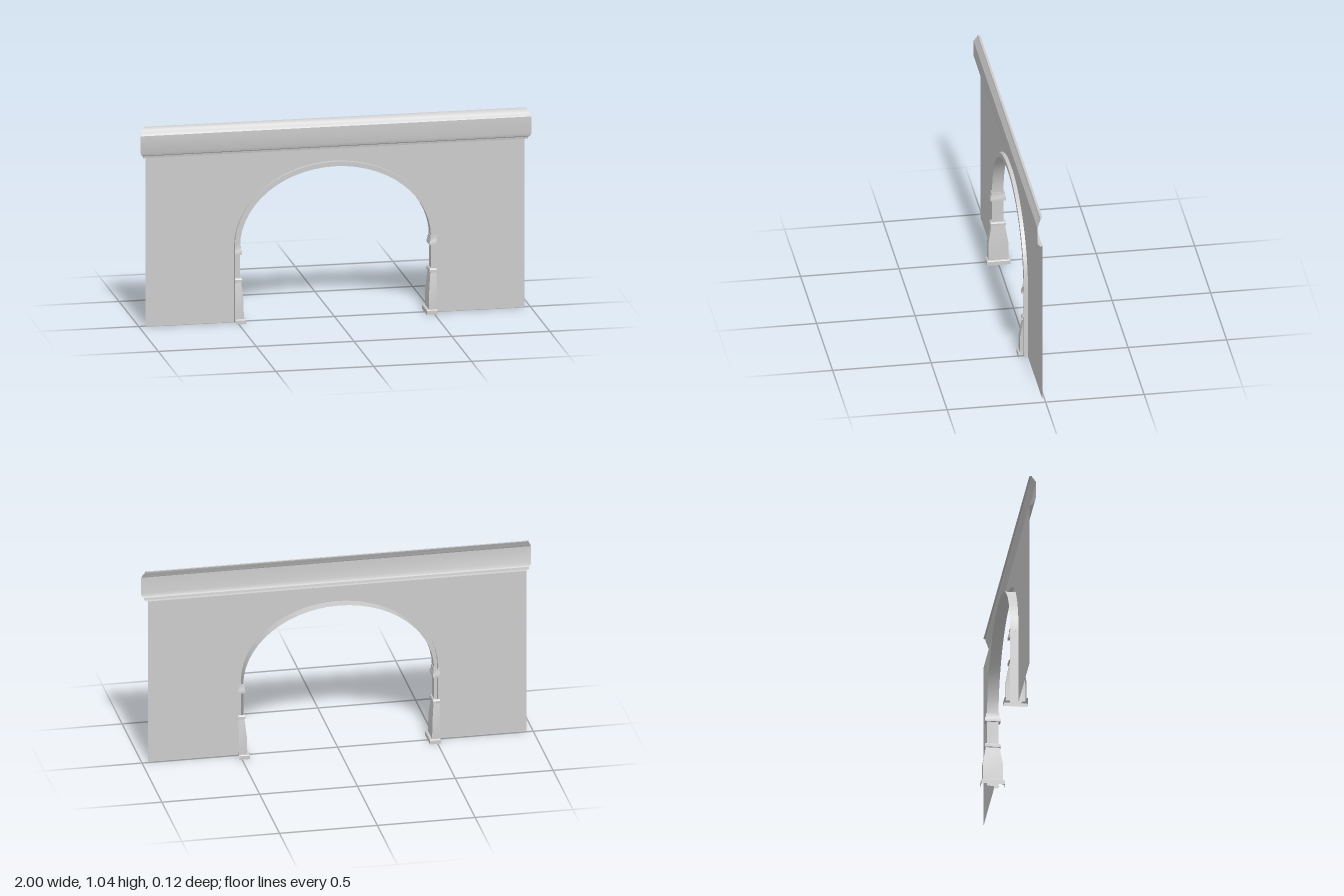
import * as THREE from 'three';
import { toCreasedNormals } from 'three/addons/utils/BufferGeometryUtils.js';

const material = new THREE.MeshStandardMaterial({ color: 0xcccccc, side: THREE.DoubleSide });

const WALL_Z = 0.011, WALL_HALF = 0.968, WALL_TOP = 0.875;
const SPRING = 0.395;                        // height where the arch starts to curve
const OUTER = { a: 0.515, b: 0.415 };        // half width and rise of the opening in the wall
const INNER = { a: 0.488, b: 0.391 };        // half width and rise of the clear opening
const SEGMENTS = 28;

function addMesh(parent, name, geometry) {
  const mesh = new THREE.Mesh(geometry, material);
  mesh.name = name;
  parent.add(mesh);
  return mesh;
}

// Open surface through rows of [x, y, z] points
function sheet(rows) {
  const n = rows[0].length, index = [];
  for (let i = 0; i < rows.length - 1; i++) {
    for (let j = 0; j < n - 1; j++) {
      const a = i * n + j, b = a + n;
      index.push(a, b, a + 1, b, b + 1, a + 1);
    }
  }
  const geometry = new THREE.BufferGeometry();
  geometry.setAttribute('position', new THREE.Float32BufferAttribute(rows.flat(2), 3));
  geometry.setIndex(index);
  return toCreasedNormals(geometry, Math.PI / 7);
}

// Arch outline from the +x foot over the crown to the -x foot
function archPath({ a, b }) {
  const points = [[a, 0]];
  for (let i = 0; i <= SEGMENTS; i++) {
    const t = Math.PI * i / SEGMENTS;
    points.push([a * Math.cos(t), SPRING + b * Math.sin(t)]);
  }
  points.push([-a, 0]);
  return points;
}

// Wrap of three sides around a jamb; each section is [y, inner x, half depth]
function jambWrap(sections) {
  const xo = OUTER.a;
  return sheet(sections.map(([y, xi, z]) => [[xo, y, z], [xi, y, z], [xi, y, -z], [xo, y, -z]]));
}

export function createModel() {
  const model = new THREE.Group();
  model.name = 'archedWall';

  // Thin wall with the arched opening
  const outer = archPath(OUTER), inner = archPath(INNER);
  const outline = [[-WALL_HALF, 0], [-WALL_HALF, WALL_TOP], [WALL_HALF, WALL_TOP], [WALL_HALF, 0], ...outer];
  const shape = new THREE.Shape(outline.map(([x, y]) => new THREE.Vector2(x, y)));
  addMesh(model, 'wall', new THREE.ShapeGeometry(shape)).position.z = WALL_Z;

  // Raised arch trim, with the lining of the opening behind it
  addMesh(model, 'archTrim', sheet(outer.map(([x, y], i) => [
    [x, y, WALL_Z],
    [x, y, 0.03],
    [...inner[i], 0.03],
    [...inner[i], -0.028],
  ])));

  // Cornice profile as [z, y], with mitred open ends
  const profile = [
    [WALL_Z, 0.875], [0.026, 0.877], [0.028, 0.888], [0.036, 0.893], [0.041, 0.908],
    [0.041, 0.995], [0.036, 1.003], [0.033, 1.012], [0.026, 1.022], [0.022, 1.036], [WALL_Z, 1.036],
  ];
  addMesh(model, 'cornice', sheet([-1, 1].map(side =>
    profile.map(([z, y]) => [side * (WALL_HALF + z - WALL_Z), y, z]))));

  // Pedestal and impost on both jambs
  for (const side of ['left', 'right']) {
    const jamb = new THREE.Group();
    jamb.name = side + 'Jamb';
    if (side === 'right') jamb.rotation.y = Math.PI;
    addMesh(jamb, 'plinth', jambWrap([
      [0, 0.46, 0.06], [0.02, 0.46, 0.06], [0.024, 0.463, 0.057], [0.024, 0.473, 0.051],
    ]));
    addMesh(jamb, 'pedestal', jambWrap([
      [0.024, 0.473, 0.051], [0.115, 0.474, 0.051], [0.21, 0.483, 0.035],
    ]));
    addMesh(jamb, 'pedestalCap', jambWrap([
      [0.21, 0.483, 0.035], [0.212, 0.479, 0.04], [0.225, 0.479, 0.04], [0.232, 0.483, 0.035], [0.232, 0.488, 0.03],
    ]));
    addMesh(jamb, 'impost', jambWrap([
      [0.354, 0.488, 0.03], [0.354, 0.479, 0.04], [0.368, 0.479, 0.04], [0.38, 0.484, 0.035],
      [0.4, 0.484, 0.034], [0.4, 0.488, 0.03],
    ]));
    model.add(jamb);
  }
  return model;
}
